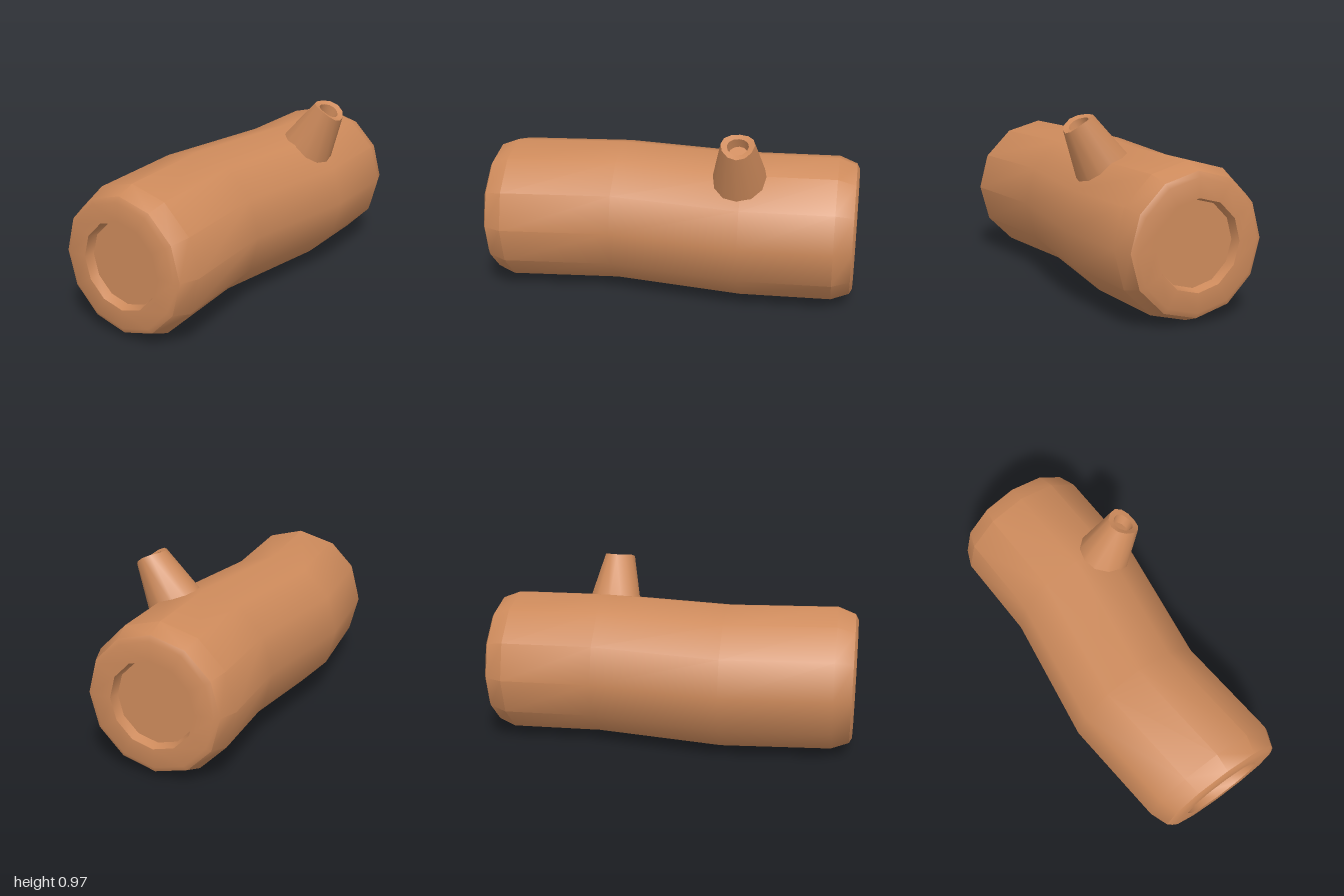
import * as THREE from 'three';
import { toCreasedNormals } from 'three/addons/utils/BufferGeometryUtils.js';

const SIDES = 12;

// Lathe a [radius, height] profile and move every vertex by a rule
function turned(profile, rule) {
  const geo = new THREE.LatheGeometry(profile.map(([r, h]) => new THREE.Vector2(r, h)), SIDES);
  const pos = geo.attributes.position;
  const v = new THREE.Vector3();
  for (let i = 0; i < pos.count; i++) {
    rule(v.fromBufferAttribute(pos, i));
    pos.setXYZ(i, v.x, v.y, v.z);
  }
  return toCreasedNormals(geo, 0.6);
}

// Sideways offset of the trunk's centre along its length
const BEND = [[-1, 0.017], [-0.89, 0.017], [-0.4, 0.042], [0.3, -0.045], [0.89, 0.017], [1, 0.017]];
function bendAt(z) {
  for (let i = 1; i < BEND.length; i++) {
    const [z0, x0] = BEND[i - 1], [z1, x1] = BEND[i];
    if (z <= z1 + 1e-4) return x0 + (x1 - x0) * (z - z0) / (z1 - z0);
  }
  return BEND[BEND.length - 1][1];
}

export function createModel() {
  const wood = new THREE.MeshStandardMaterial({ color: 0xcd8a5b });
  wood.name = 'wood';
  const model = new THREE.Group();
  model.name = 'log';

  // Trunk: bevelled ends with shallow round recesses, gently bent
  const end = [[0, 0.95], [0.217, 0.95], [0.23, 1], [0.33, 1], [0.358, 0.985], [0.395, 0.89]];
  const profile = [
    ...end.map(([r, z]) => [r, -z]),
    [0.395, -0.4], [0.395, 0.3],
    ...end.slice().reverse(),
  ];
  const trunkGeo = turned(profile, (v) => {
    const z = v.y;
    v.set(v.x + bendAt(z), 0.398 - v.z, z);
  });
  const trunk = new THREE.Mesh(trunkGeo, wood);
  trunk.name = 'trunk';
  model.add(trunk);

  // Branch stump: tapered, hollow at the tip, with a saddle-shaped rim
  const stumpGeo = turned(
    [[0.173, -0.37], [0.087, 0], [0.056, 0], [0.05, -0.05], [0, -0.05]],
    (v) => { if (v.y > -0.01) v.y += 0.02 * (v.z / 0.087) ** 2; },
  );
  const stump = new THREE.Mesh(stumpGeo, wood);
  stump.name = 'branchStump';
  stump.position.set(0.345, 0.928, -0.385);
  stump.rotation.z = -Math.PI / 6;
  model.add(stump);

  return model;
}
